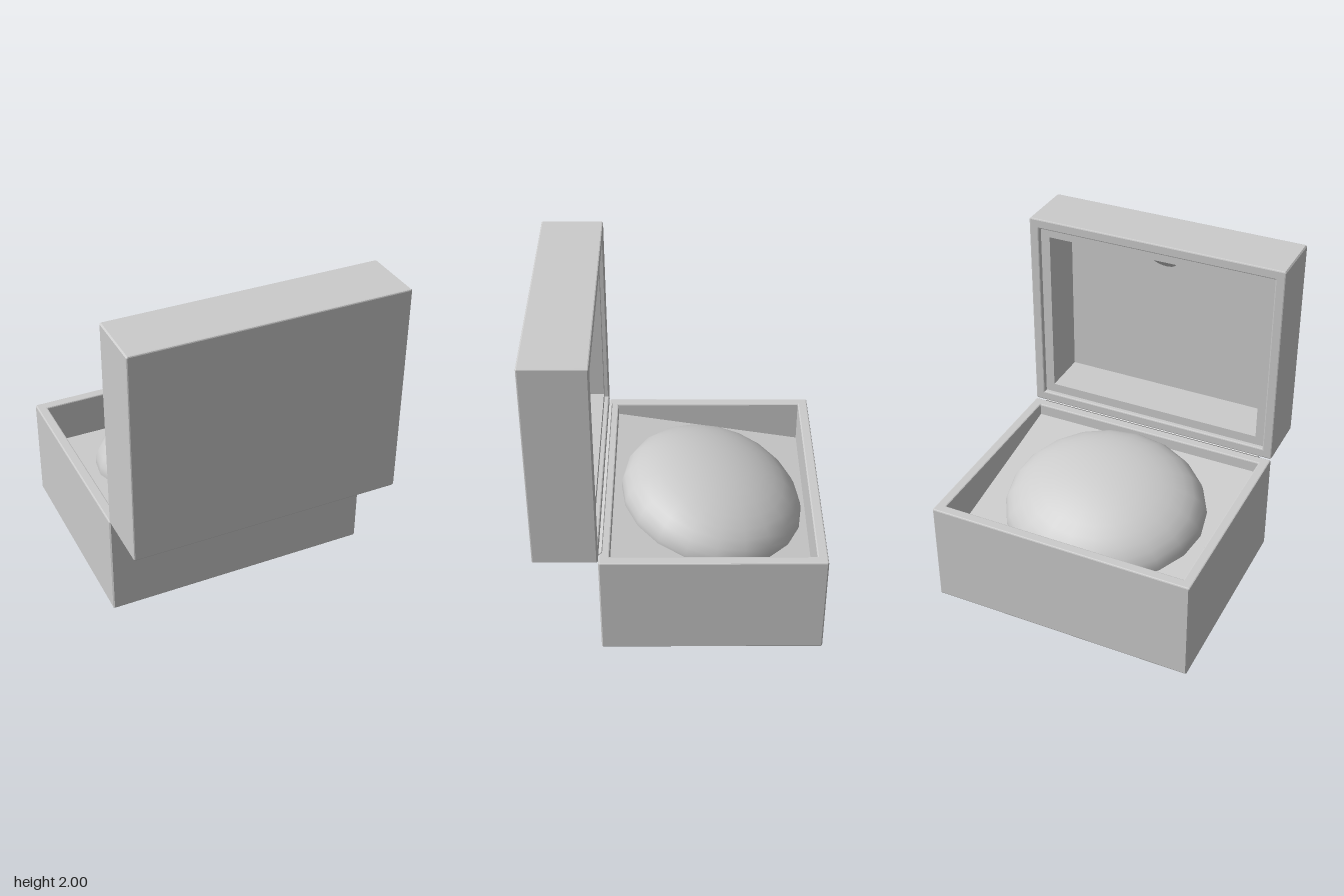
import * as THREE from 'three';

const material = new THREE.MeshStandardMaterial({ color: 0xcccccc });
const BEVEL = 0.008;

function part(parent, name, geometry, x = 0, y = 0, z = 0) {
  const mesh = new THREE.Mesh(geometry, material);
  mesh.name = name;
  mesh.position.set(x, y, z);
  parent.add(mesh);
  return mesh;
}

// Rectangle outline with optionally cut corners
function outline(w, h, cut = 0) {
  const x = w / 2, y = h / 2;
  const points = cut
    ? [[x, cut - y], [x, y - cut], [x - cut, y], [cut - x, y], [-x, y - cut], [-x, cut - y], [cut - x, -y], [x - cut, -y]]
    : [[x, -y], [x, y], [-x, y], [-x, -y]];
  return points.map(([px, py]) => new THREE.Vector2(px, py));
}

// Rectangular ring extruded along +z from 0 to depth
function ring(w, h, wall, depth, bevel = 0) {
  const shape = new THREE.Shape(outline(w, h, bevel));
  shape.holes.push(new THREE.Path(outline(w - 2 * wall, h - 2 * wall)));
  return new THREE.ExtrudeGeometry(shape, {
    depth: depth - 2 * bevel, bevelEnabled: bevel > 0, bevelThickness: bevel,
    bevelSize: bevel, bevelOffset: -bevel, bevelSegments: 2,
  }).translate(0, 0, bevel);
}

// Open tray: walls with a floor plate, opening towards local +z
function tray(name, w, h, wall, depth, floor) {
  const group = new THREE.Group();
  group.name = name;
  part(group, name + 'Walls', ring(w, h, wall, depth, BEVEL));
  part(group, name + 'Floor', new THREE.BoxGeometry(w - 2 * wall + 2 * BEVEL, h - 2 * wall + 2 * BEVEL, floor), 0, 0, floor / 2);
  return group;
}

export function createModel() {
  const model = new THREE.Group();
  const W = 1.67, D = 1.33, WALL = 0.063;

  // Base box, opening upwards
  const base = tray('base', W, D, WALL, 0.667, 0.05);
  base.rotation.x = -Math.PI / 2;
  base.position.z = -0.19;
  model.add(base);

  // Upright lid, opening towards the back
  const lid = tray('lid', W, D, WALL, 0.38, 0.05);
  lid.rotation.y = Math.PI;
  lid.position.set(0, 1.335, 0.855);
  model.add(lid);

  // Recessed lining inside the lid rim
  part(lid, 'lidLining', ring(W - 2 * WALL, D - 2 * WALL, 0.06, 0.3), 0, 0, 0.05);

  // Sloping panel that holds the cushion
  const slope = Math.atan(0.2 / 1.2);
  const panel = part(model, 'panel', new THREE.BoxGeometry(W - 2 * WALL, 0.02, 1.225), 0, 0.48, -0.19);
  panel.rotation.x = -slope;

  // Tilted oval cushion
  const cushion = part(model, 'cushion', new THREE.SphereGeometry(1, 20, 20), 0, 0.49, -0.2);
  cushion.scale.set(0.64, 0.308, 0.58);
  cushion.rotation.x = -THREE.MathUtils.degToRad(14);

  // Thin hinge strip between base and lid
  const hinge = part(model, 'hinge', new THREE.BoxGeometry(1.51, 0.006, 0.05), 0, 0.667, 0.473);
  hinge.rotation.x = Math.PI / 4;

  // Small spotlight under the top wall of the lid, aimed at the cushion
  const axis = new THREE.Vector3(0, -0.6, -0.8);
  const lamp = part(model, 'lamp', new THREE.CylinderGeometry(0.08, 0.045, 0.14, 24), 0, 1.81, 0.645);
  lamp.position.addScaledVector(axis, -0.07);
  lamp.quaternion.setFromUnitVectors(new THREE.Vector3(0, 1, 0), axis);

  return model;
}
